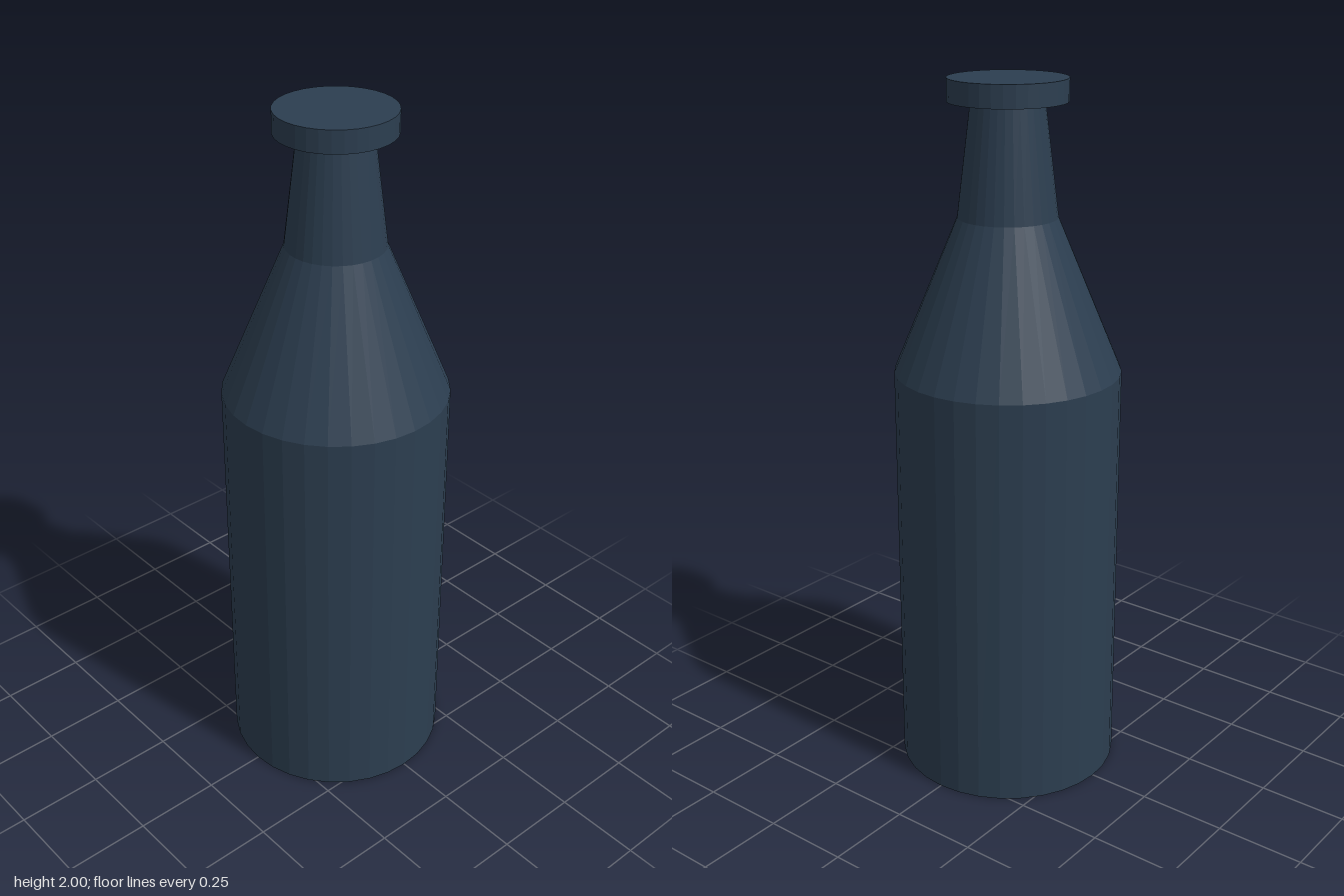
import * as THREE from 'three';

export function createModel() {
  const group = new THREE.Group();
  group.name = 'bottle';
  const material = new THREE.MeshStandardMaterial({ color: 0x2c3e50, flatShading: true });

  // One round section standing between two heights
  function section(name, rBottom, rTop, y0, y1, open = false) {
    const geometry = new THREE.CylinderGeometry(rTop, rBottom, y1 - y0, 32, 1, open);
    const mesh = new THREE.Mesh(geometry, material);
    mesh.name = name;
    mesh.position.y = (y0 + y1) / 2;
    group.add(mesh);
  }

  section('body', 0.318, 0.318, 0, 1.2);
  section('shoulder', 0.318, 0.138, 1.2, 1.63, true);
  section('neck', 0.138, 0.1, 1.63, 1.94, true);
  section('cap', 0.163, 0.163, 1.938, 2);

  return group;
}
